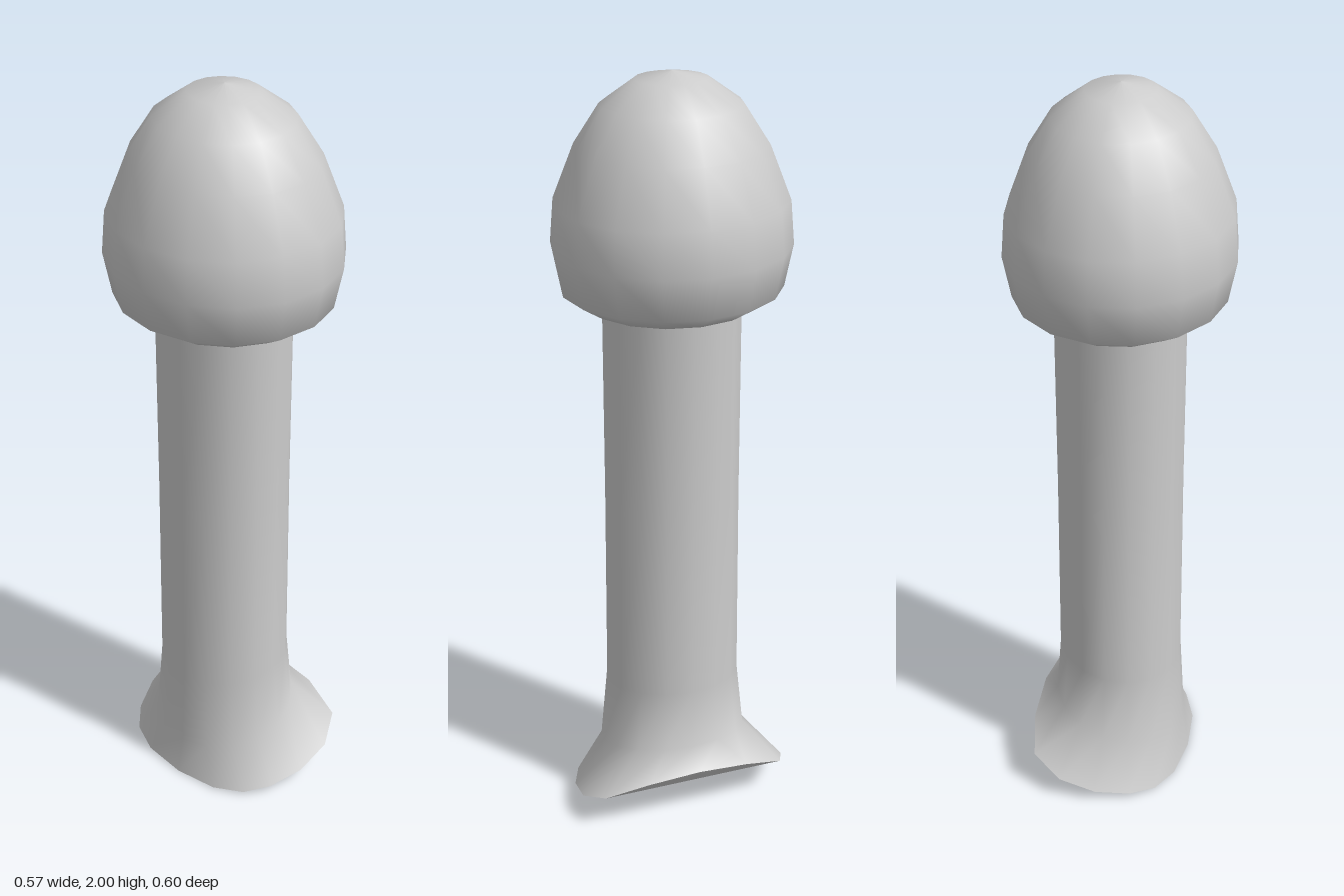
import * as THREE from 'three';

const SIDES = 16;
const material = new THREE.MeshStandardMaterial({ color: 0xcccccc });

function addMesh(group, name, geometry) {
  const mesh = new THREE.Mesh(geometry, material);
  mesh.name = name;
  group.add(mesh);
  return mesh;
}

// Ring slightly deeper than wide; its height tilts up towards +x
function ovalRing(rx, rz, y, tilt = 0) {
  return Array.from({ length: SIDES }, (_, i) => {
    const a = (i / SIDES) * Math.PI * 2;
    return [Math.cos(a) * rx, y + tilt * Math.cos(a), Math.sin(a) * rz];
  });
}

// Skin stacked rings, bottom to top, with smooth normals
function loft(rings) {
  const index = [];
  for (let r = 0; r < rings.length - 1; r++) {
    for (let i = 0; i < SIDES; i++) {
      const a = r * SIDES + i, b = r * SIDES + ((i + 1) % SIDES);
      index.push(a, a + SIDES, b, b, a + SIDES, b + SIDES);
    }
  }
  const g = new THREE.BufferGeometry();
  g.setAttribute('position', new THREE.Float32BufferAttribute(rings.flat(2), 3));
  g.setIndex(index);
  g.computeVertexNormals();
  return g;
}

// Flat-shaded underside, in strips between mirrored rim points
function underside(rim) {
  const tris = [];
  for (let i = 0; i < SIDES / 2; i++) {
    const a = rim[i], b = rim[i + 1];
    const c = rim[(SIDES - i) % SIDES], d = rim[SIDES - i - 1];
    if (i < SIDES / 2 - 1) tris.push(a, b, d);
    if (i > 0) tris.push(a, d, c);
    if (i === SIDES / 2 - 1) tris.pop(), tris.push(a, b, c);
  }
  const g = new THREE.BufferGeometry();
  g.setAttribute('position', new THREE.Float32BufferAttribute(tris.flat(), 3));
  g.computeVertexNormals();
  return g;
}

export function createModel() {
  const group = new THREE.Group();
  group.name = 'knobbedPost';

  // Egg-shaped knob with a rounded lower lip
  const profile = [
    [0.165, 1.43], [0.21, 1.435], [0.265, 1.472], [0.285, 1.58], [0.276, 1.69],
    [0.225, 1.825], [0.165, 1.922], [0.085, 1.982], [0, 2],
  ].map(([r, y]) => new THREE.Vector2(r, y));
  const knob = addMesh(group, 'knob', new THREE.LatheGeometry(profile, SIDES));
  knob.scale.z = 1.053;

  // Slanted rim of the foot: one half, then mirrored across z
  const half = [
    [0.225, 0.16, 0], [0.215, 0.145, 0.14], [0.183, 0.107, 0.253],
    [0.1, 0.068, 0.292], [0, 0.038, 0.285], [-0.09, 0.02, 0.25],
    [-0.15, 0.009, 0.2], [-0.187, 0.003, 0.12], [-0.2, 0, 0],
  ];
  const rim = [...half, ...half.slice(1, -1).reverse().map(([x, y, z]) => [x, y, -z])];

  // Shaft flaring out into the foot
  addMesh(group, 'shaft', loft([
    rim,
    ovalRing(0.18, 0.2, 0.165, 0.05),
    ovalRing(0.168, 0.18, 0.36, 0.02),
    ovalRing(0.165, 0.176, 0.9),
    ovalRing(0.165, 0.175, 1.44),
  ]));
  addMesh(group, 'footUnderside', underside(rim));

  return group;
}
